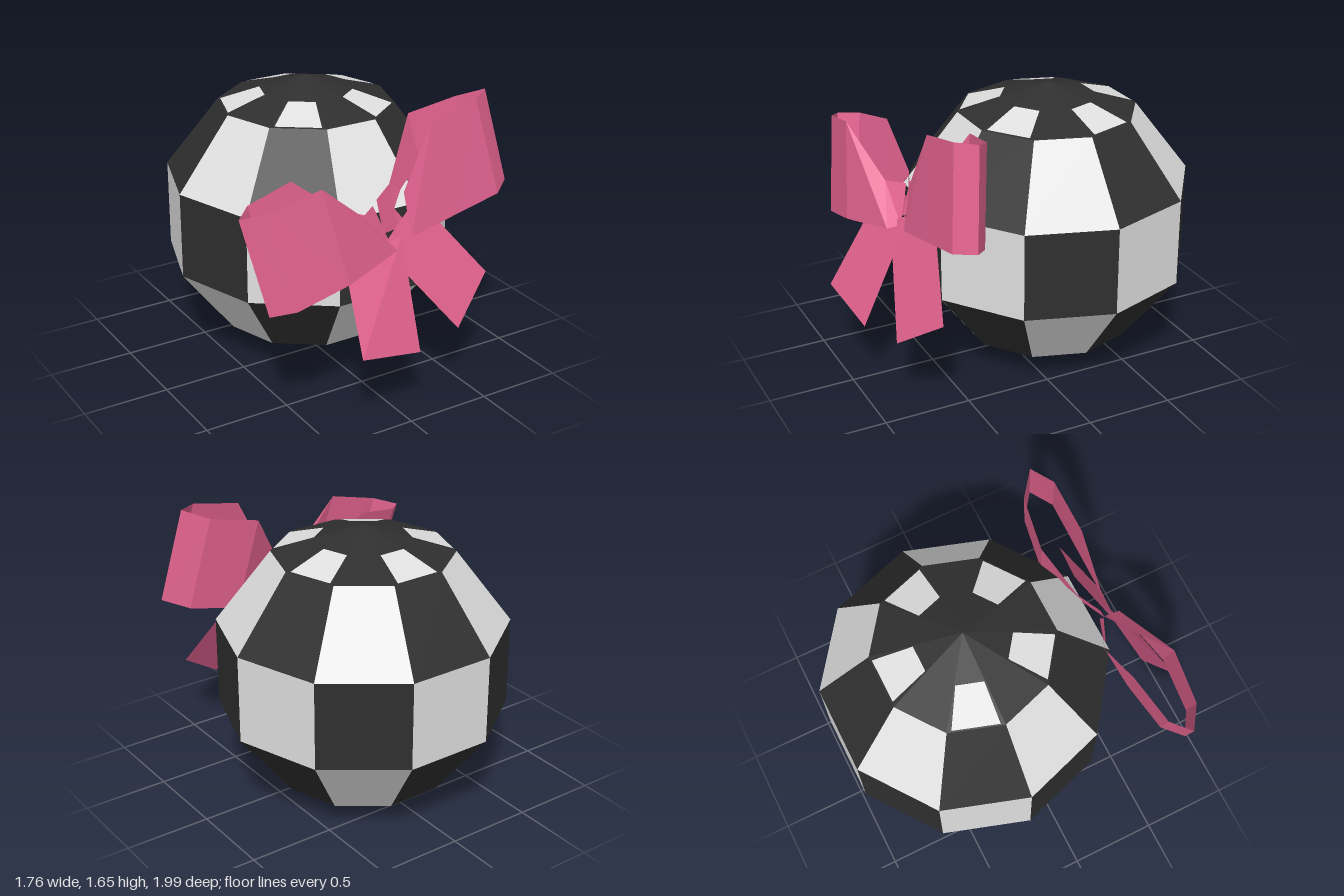
import * as THREE from 'three';

const mat = (name, color, side = THREE.FrontSide) => {
  const m = new THREE.MeshStandardMaterial({ color, side });
  m.name = name;
  return m;
};

// Flat shaded mesh from a list of four-cornered faces
function quadMesh(name, quads, material) {
  const pos = [];
  for (const [a, b, c, d] of quads) pos.push(...a, ...b, ...c, ...a, ...c, ...d);
  const g = new THREE.BufferGeometry();
  g.setAttribute('position', new THREE.Float32BufferAttribute(pos, 3));
  g.computeVertexNormals();
  const mesh = new THREE.Mesh(g, material);
  mesh.name = name;
  return mesh;
}

// Ribbon from cross lines, each given as its top and bottom point
function ribbon(name, lines, material) {
  const quads = [];
  for (let i = 0; i < lines.length - 1; i++) {
    const [t0, b0] = lines[i], [t1, b1] = lines[i + 1];
    quads.push([b0, b1, t1, t0]);
  }
  return quadMesh(name, quads, material);
}

export function createModel() {
  const model = new THREE.Group();
  const black = mat('black', 0x2f2f2f);
  const white = mat('white', 0xe0e0e0);
  const pink = mat('pink', 0xe2628e, THREE.DoubleSide);

  // Checkered ball: ten sides, five bands
  const SIDES = 10, BANDS = 5, RX = 0.867, RY = 0.823;
  const CX = 0.06, CY = 0.832, CZ = -0.215;
  const ring = (i) => {
    const p = Math.PI * i / BANDS;
    return { r: RX * Math.sin(p), y: CY - RY * Math.cos(p) };
  };
  // Point on side k of a ring, s runs along the side
  const point = ({ r, y }, k, s) => {
    const a = 2 * Math.PI * k / SIDES, b = 2 * Math.PI * (k + 1) / SIDES;
    return [
      CX + r * (Math.cos(a) * (1 - s) + Math.cos(b) * s),
      y,
      CZ + r * (Math.sin(a) * (1 - s) + Math.sin(b) * s),
    ];
  };
  const face = (low, high, k, inLow = 0, inHigh = 0) => [
    point(low, k, 1 - inLow), point(low, k, inLow),
    point(high, k, inHigh), point(high, k, 1 - inHigh),
  ];
  const between = (a, b, t, lift) => ({
    r: a.r + (b.r - a.r) * t, y: a.y + (b.y - a.y) * t + lift,
  });

  const dark = [], light = [], patches = [];
  for (let band = 0; band < BANDS; band++) {
    const low = ring(band), high = ring(band + 1);
    const cap = band === 0 || band === BANDS - 1;
    for (let k = 0; k < SIDES; k++) {
      // the caps repeat the pattern of the middle band
      const isLight = (k % 2 === 0) === (band === 1 || band === 3);
      (isLight && !cap ? light : dark).push(face(low, high, k));
      if (isLight && band === 0) {
        patches.push(face(between(low, high, 0.53, -0.003), between(low, high, 0.985, -0.003), k, 0.04, 0.08));
      } else if (isLight && cap) {
        patches.push(face(between(high, low, 0.985, 0.003), between(high, low, 0.53, 0.003), k, 0.08, 0.04));
      }
    }
  }
  const ball = new THREE.Group();
  ball.name = 'ball';
  ball.add(
    quadMesh('darkPanels', dark, black),
    quadMesh('lightPanels', light, white),
    quadMesh('capPatches', patches, white),
  );
  model.add(ball);

  // Ribbon bow
  const bow = new THREE.Group();
  bow.name = 'bow';

  // loop on the -x side: front sheet, outer end, back sheet
  bow.add(ribbon('rightLoop', [
    [[-0.025, 1.16, 0.62], [0.045, 0.95, 0.69]],
    [[-0.14, 1.15, 0.70], [0.04, 0.94, 0.77]],
    [[-0.455, 1.41, 0.80], [-0.325, 0.87, 0.87]],
    [[-0.755, 1.34, 0.78], [-0.635, 0.79, 0.86]],
    [[-0.88, 1.30, 0.70], [-0.76, 0.76, 0.785]],
    [[-0.775, 1.32, 0.60], [-0.655, 0.78, 0.68]],
    [[-0.485, 1.37, 0.54], [-0.36, 0.83, 0.62]],
    [[-0.20, 1.15, 0.53], [-0.12, 0.92, 0.60]],
    [[0, 1.08, 0.61], [0.03, 0.97, 0.66]],
  ], pink));

  // loop on the +x side
  bow.add(ribbon('leftLoop', [
    [[0.14, 1.22, 0.67], [0.165, 0.97, 0.72]],
    [[0.33, 1.58, 0.64], [0.46, 1.03, 0.71]],
    [[0.635, 1.645, 0.625], [0.76, 1.09, 0.70]],
    [[0.76, 1.66, 0.54], [0.88, 1.12, 0.61]],
    [[0.635, 1.61, 0.44], [0.75, 1.07, 0.51]],
    [[0.345, 1.55, 0.40], [0.46, 1.01, 0.47]],
    [[0.14, 1.22, 0.53], [0.16, 0.98, 0.60]],
    [[0.005, 1.185, 0.61], [0.02, 1.0, 0.66]],
  ], pink));

  // hanging tails
  bow.add(ribbon('rightTail', [
    [[-0.28, 0.91, 0.75], [-0.32, 0.48, 0.995]],
    [[0.12, 0.98, 0.69], [0.085, 0.39, 0.945]],
  ], pink));
  bow.add(ribbon('leftTail', [
    [[-0.03, 0.95, 0.72], [0.39, 0.42, 0.875]],
    [[0.28, 1.13, 0.59], [0.685, 0.635, 0.725]],
  ], pink));
  model.add(bow);

  return model;
}
